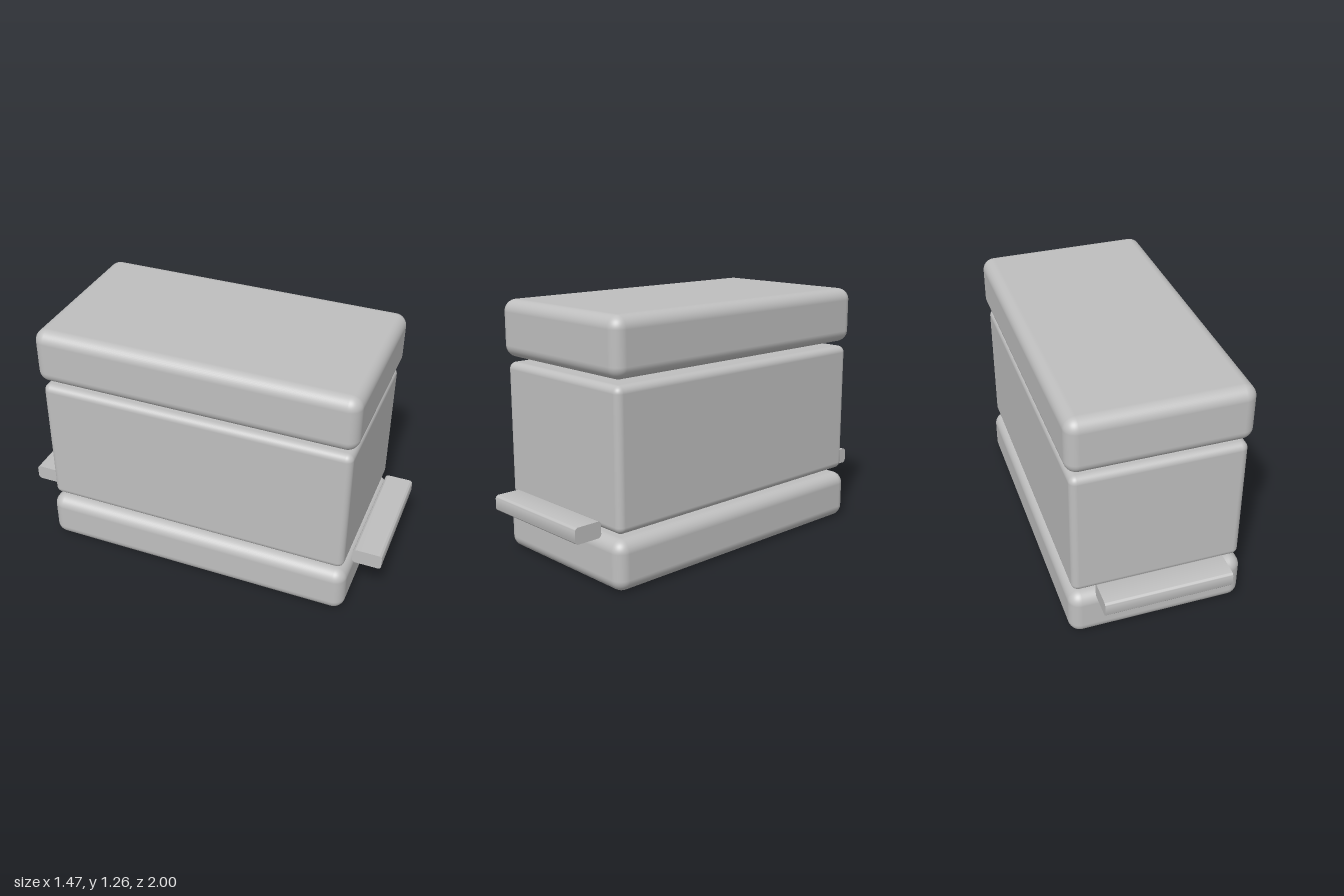
import * as THREE from 'three';
import { RoundedBoxGeometry } from 'three/addons/geometries/RoundedBoxGeometry.js';
import { toCreasedNormals } from 'three/addons/utils/BufferGeometryUtils.js';

// Bar with a rounded profile and flat ends, running along x
function roundedBar(length, height, depth, r) {
  const w = depth / 2, h = height / 2;
  const s = new THREE.Shape();
  s.moveTo(-w + r, -h);
  s.absarc(w - r, -h + r, r, -Math.PI / 2, 0);
  s.absarc(w - r, h - r, r, 0, Math.PI / 2);
  s.absarc(-w + r, h - r, r, Math.PI / 2, Math.PI);
  s.absarc(-w + r, -h + r, r, Math.PI, Math.PI * 1.5);
  const geo = new THREE.ExtrudeGeometry(s, { depth: length, bevelEnabled: false, curveSegments: 6 });
  geo.translate(0, 0, -length / 2).rotateY(Math.PI / 2);
  return toCreasedNormals(geo, 0.6);
}

export function createModel() {
  const model = new THREE.Group();
  model.name = 'box';
  const grey = new THREE.MeshStandardMaterial({ color: 0xbfbfbf });
  grey.name = 'grey';

  // The whole box stands turned about the vertical
  const turned = new THREE.Group();
  turned.name = 'turnedBox';
  turned.rotation.y = Math.atan(0.5);
  model.add(turned);

  const add = (name, geo, y, z = 0) => {
    const mesh = new THREE.Mesh(geo, grey);
    mesh.name = name;
    mesh.position.set(0, y, z);
    turned.add(mesh);
  };

  // Three stacked blocks with narrow gaps: name, width, length, bottom, top, radius
  const blocks = [
    ['base', 0.88, 1.62, 0, 0.247, 0.06],
    ['body', 0.846, 1.584, 0.273, 0.951, 0.035],
    ['lid', 0.88, 1.62, 0.976, 1.258, 0.06],
  ];
  for (const [name, w, l, y0, y1, r] of blocks) {
    add(name, new RoundedBoxGeometry(w, y1 - y0, l, 6, r), (y0 + y1) / 2);
  }

  // A ledge at each end
  const ledge = roundedBar(0.634, 0.08, 0.146, 0.018);
  add('frontLedge', ledge, 0.288, 0.885);
  add('backLedge', ledge, 0.288, -0.885);

  return model;
}
